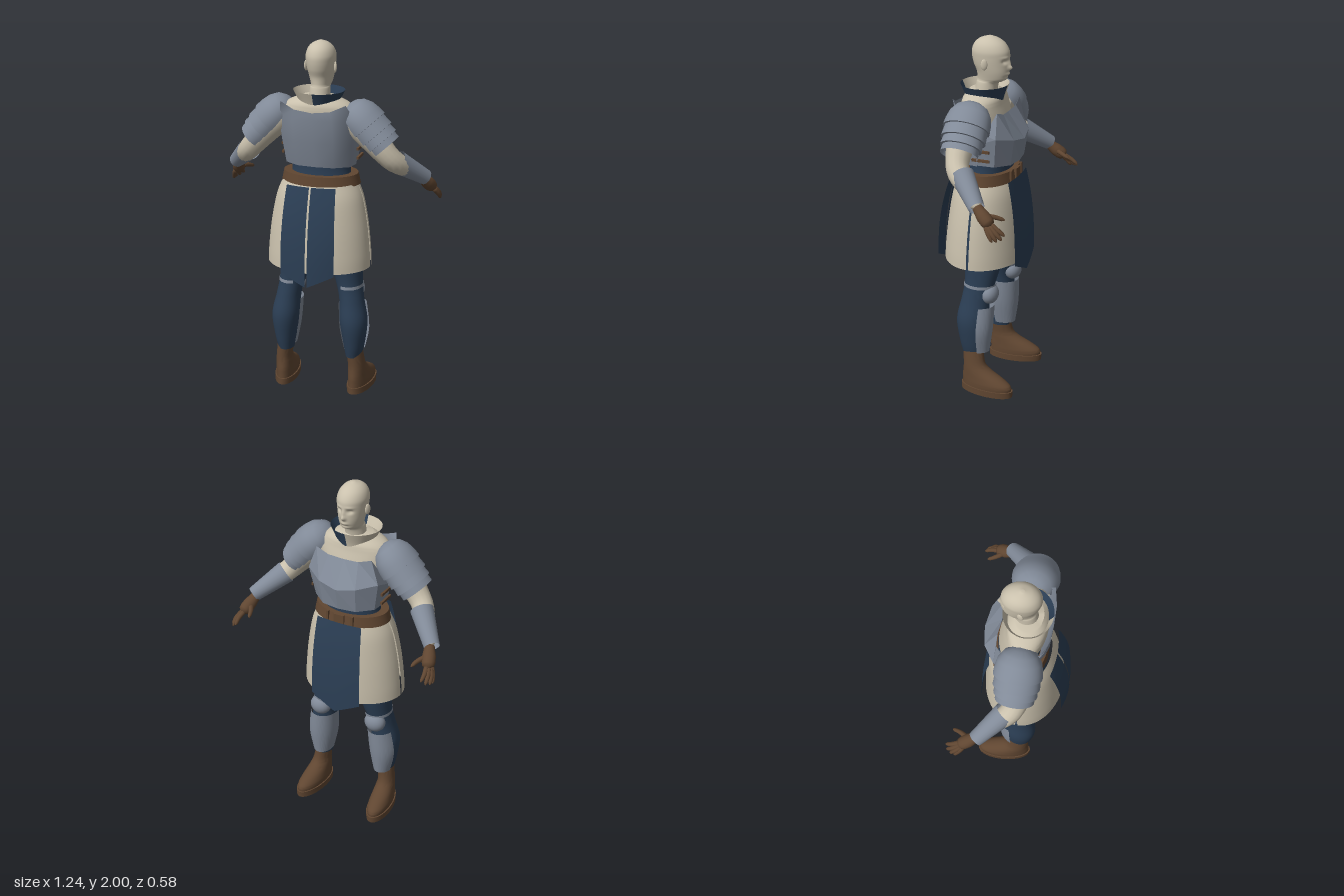
import * as THREE from 'three';
import { mergeVertices, toCreasedNormals } from 'three/addons/utils/BufferGeometryUtils.js';

const V = (p) => new THREE.Vector3(...p);

// Indexed surface from rows of [x, y, z] points; rows rise, columns run from front towards +x.
function grid(rows, closed = false) {
  const n = rows[0].length, idx = [];
  for (let j = 0; j < rows.length - 1; j++) {
    for (let i = 0; i < (closed ? n : n - 1); i++) {
      const k = (i + 1) % n, a = j * n + i, b = j * n + k;
      idx.push(a, a + n, b + n, a, b + n, b);
    }
  }
  const g = new THREE.BufferGeometry();
  g.setAttribute('position', new THREE.Float32BufferAttribute(rows.flat(2), 3));
  g.setIndex(idx);
  g.computeVertexNormals();
  return g;
}

// Upright body from rows [y, centreX, radiusX, zFront, zBack]; angle 0 is the front, PI/2 is +x.
function loft(rows, { a0 = 0, a1 = Math.PI * 2, n = 32, steps = 5, cap = true } = {}) {
  const full = a1 - a0 > 6.28, fine = [];
  const at = (j) => rows[Math.max(0, Math.min(rows.length - 1, j))];
  for (let j = 0; j < rows.length - 1; j++) {
    for (let s = 0; s < steps; s++) {
      const t = s / steps, [p, q, r, w] = [at(j - 1), at(j), at(j + 1), at(j + 2)];
      fine.push(q.map((v, c) => v + 0.5 * t * (r[c] - p[c] + t * (2 * p[c] - 5 * v + 4 * r[c] - w[c]
        + t * (3 * (v - r[c]) + w[c] - p[c])))));
    }
  }
  fine.push(at(rows.length - 1));
  if (full && cap) {
    const flat = ([y, cx, , f, b]) => [y, cx, 0.0005, (f + b) / 2 - 0.0005, (f + b) / 2 + 0.0005];
    fine.unshift(flat(fine[0]));
    fine.push(flat(fine[fine.length - 1]));
  }
  return grid(fine.map(([y, cx, rx, f, b]) => Array.from({ length: full ? n : n + 1 }, (_, i) => {
    const a = a0 + (a1 - a0) * i / n;
    return [cx + rx * Math.sin(a), y, (f + b) / 2 - (b - f) / 2 * Math.cos(a)];
  })), full);
}

// Round limb along a curve, with its radius changing evenly between the given values.
function limb(points, radii, segs = 20, sides = 16) {
  const curve = new THREE.CatmullRomCurve3(points.map(V));
  let g = new THREE.TubeGeometry(curve, segs, 1, sides);
  const pos = g.attributes.position, v = new THREE.Vector3();
  for (let i = 0; i < pos.count; i++) {
    const t = Math.floor(i / (sides + 1)) / segs, c = curve.getPointAt(t);
    const k = Math.min(radii.length - 2, Math.floor(t * (radii.length - 1)));
    let r = THREE.MathUtils.lerp(radii[k], radii[k + 1], t * (radii.length - 1) - k);
    if (t === 0 || t === 1) r *= 0.35;
    v.fromBufferAttribute(pos, i).sub(c).multiplyScalar(r).add(c);
    pos.setXYZ(i, v.x, v.y, v.z);
  }
  g.deleteAttribute('uv');
  g.deleteAttribute('normal');
  g = mergeVertices(g, 1e-5);
  g.computeVertexNormals();
  return g;
}

function mirrored(g) {
  const m = g.clone().scale(-1, 1, 1), ix = m.index.array;
  for (let i = 0; i < ix.length; i += 3) [ix[i], ix[i + 1]] = [ix[i + 1], ix[i]];
  m.computeVertexNormals();
  return m;
}

export function createModel() {
  const model = new THREE.Group();
  const paint = (name, color) => new THREE.MeshStandardMaterial({ name, color, side: THREE.DoubleSide });
  const linen = paint('linen', 0xcac1ad), navy = paint('navy cloth', 0x2b3e54);
  const steel = paint('steel', 0x818a98), leather = paint('leather', 0x604631);
  const add = (name, g, mat, crease = 0.8) => {
    const mesh = new THREE.Mesh(crease ? toCreasedNormals(g, crease) : g, mat);
    mesh.name = name;
    model.add(mesh);
  };
  const pair = (name, g, mat, crease) => {
    add(name + 'Left', g, mat, crease);
    add(name + 'Right', mirrored(g), mat, crease);
  };

  // Head and neck, with eye hollows, nose, lips and brow pressed into the front
  const head = loft([
    [1.64, 0, 0.06, -0.01, 0.115], [1.74, 0, 0.054, -0.025, 0.097], [1.76, 0, 0.052, -0.055, 0.092],
    [1.775, 0, 0.056, -0.076, 0.09], [1.81, 0, 0.065, -0.085, 0.094], [1.85, 0, 0.073, -0.087, 0.11],
    [1.89, 0, 0.078, -0.088, 0.119], [1.925, 0, 0.079, -0.085, 0.119], [1.96, 0, 0.067, -0.064, 0.104],
    [1.985, 0, 0.043, -0.03, 0.074], [2, 0, 0.008, 0.012, 0.03],
  ], { n: 80, steps: 8 });
  const hp = head.attributes.position;
  const bump = (x, y, cx, cy, sx, sy) => Math.exp(-(((x - cx) / sx) ** 2) - ((y - cy) / sy) ** 2);
  for (let i = 0; i < hp.count; i++) {
    const x = hp.getX(i), y = hp.getY(i), z = hp.getZ(i);
    if (z > -0.02) continue;
    hp.setZ(i, z + 0.013 * bump(Math.abs(x), y, 0.03, 1.872, 0.015, 0.011)
      - 0.018 * bump(x, y, 0, 1.835, 0.012, 0.013) - 0.009 * bump(x, y, 0, 1.86, 0.009, 0.02)
      - 0.007 * bump(x, y, 0, 1.802, 0.02, 0.008) + 0.005 * bump(x, y, 0, 1.788, 0.025, 0.006)
      - 0.004 * bump(Math.abs(x), y, 0.03, 1.893, 0.022, 0.007));
  }
  head.computeVertexNormals();
  add('head', head, linen, 0);
  pair('ear', new THREE.SphereGeometry(1, 14, 10).scale(0.008, 0.03, 0.018).rotateY(0.35)
    .translate(0.081, 1.86, 0.022), linen, 0);

  // Two-tone standing collar
  const collar = [[1.63, 0, 0.095, -0.05, 0.14], [1.68, 0, 0.11, -0.06, 0.155], [1.74, 0, 0.14, -0.08, 0.18]];
  add('collarLeft', loft(collar, { a1: Math.PI, n: 24 }), navy);
  add('collarRight', loft(collar, { a0: Math.PI, n: 24 }), linen);

  // Shirt, waist and hips
  add('shirt', loft([[1.28, 0, 0.15, -0.09, 0.11], [1.42, 0, 0.175, -0.1, 0.13], [1.55, 0, 0.2, -0.08, 0.155],
    [1.63, 0, 0.205, -0.06, 0.16], [1.675, 0, 0.17, -0.05, 0.155], [1.71, 0, 0.09, -0.02, 0.13]]), linen);
  add('waist', loft([[1.02, 0, 0.17, -0.09, 0.14], [1.2, 0, 0.175, -0.1, 0.13], [1.3, 0, 0.163, -0.105, 0.12],
    [1.36, 0, 0.165, -0.105, 0.12]]), navy);

  // Keeled breastplate and curved backplate, given as half rows and mirrored
  const plate = (rows) => grid(rows.map((r) => [...r.slice(1).reverse().map(([x, y, z]) => [-x, y, z]), ...r]));
  add('breastplate', plate([
    [[0, 1.33, -0.152], [0.1, 1.33, -0.138], [0.18, 1.335, -0.075], [0.198, 1.34, 0.025]],
    [[0, 1.455, -0.178], [0.11, 1.475, -0.16], [0.21, 1.5, -0.095], [0.213, 1.46, 0.015]],
    [[0, 1.595, -0.083], [0.09, 1.605, -0.092], [0.165, 1.63, -0.085], [0.208, 1.52, -0.03]],
  ]), steel, 0.05);
  add('backplate', plate([
    [[0, 1.33, 0.128], [0.1, 1.33, 0.12], [0.18, 1.33, 0.07], [0.198, 1.335, 0.015]],
    [[0, 1.47, 0.163], [0.11, 1.47, 0.158], [0.195, 1.47, 0.1], [0.213, 1.45, 0.015]],
    [[0, 1.6, 0.182], [0.11, 1.6, 0.179], [0.2, 1.59, 0.125], [0.215, 1.52, 0.04]],
    [[0, 1.64, 0.183], [0.1, 1.652, 0.18], [0.18, 1.688, 0.16], [0.2, 1.63, 0.12]],
  ]), steel, 1);
  for (const y of [1.375, 1.425]) {
    pair('sideStrap', new THREE.BoxGeometry(0.012, 0.014, 0.1).translate(0.212, y, -0.01), leather);
  }

  // Belt with buckle and loops
  add('belt', loft([[1.225, 0, 0.22, -0.14, 0.165], [1.283, 0, 0.208, -0.13, 0.157]], { n: 48, steps: 1 }), leather);
  add('buckle', new THREE.BoxGeometry(0.06, 0.066, 0.014).translate(0, 1.254, -0.138), leather);
  pair('beltLoop', new THREE.BoxGeometry(0.014, 0.068, 0.014).translate(0.075, 1.254, -0.13), leather);

  // Skirt in front and back halves, open at the sides
  const skirt = [[0.765, 0, 0.292, -0.184, 0.26], [0.85, 0, 0.288, -0.181, 0.255], [1, 0, 0.272, -0.172, 0.238],
    [1.15, 0, 0.243, -0.157, 0.212], [1.235, 0, 0.208, -0.135, 0.18]];
  const half = Math.PI / 2 - 0.03;
  add('skirtFront', loft(skirt, { a0: -half, a1: half }), linen);
  add('skirtBack', loft(skirt, { a0: Math.PI - half, a1: Math.PI + half }), linen);

  // Pointed hanging panels; the rear one is split down the middle
  const panel = (xa, xb, zTop, zLow, curve) => {
    const rows = [];
    for (let j = 0; j <= 12; j++) {
      rows.push(Array.from({ length: 11 }, (_, i) => {
        const t = j / 12, x = THREE.MathUtils.lerp(xa, xb, i / 10) * (1 - 0.1 * t * t);
        const low = 0.695 + Math.abs(x) * 0.48;
        const z = zLow + (zTop - zLow) * t ** 2.4;
        return [x, low + (1.24 - low) * t, z - Math.sign(zLow) * curve * x * x];
      }));
    }
    return grid(rows);
  };
  add('frontPanel', panel(-0.15, 0.15, -0.148, -0.198, 0.6), navy);
  pair('backPanel', panel(0.006, 0.152, 0.212, 0.293, 1), navy);

  // Arms
  pair('arm', limb([[0.17, 1.63, 0.05], [0.29, 1.51, 0.06], [0.4, 1.385, 0.04], [0.47, 1.315, -0.045],
    [0.54, 1.245, -0.135]], [0.085, 0.083, 0.074, 0.062, 0.055, 0.042, 0.027], 28), linen, 0);

  // Shoulder plates: a dome and stepped bands around the upper arm
  const dome = [[0.001, -0.088], [0.04, -0.08], [0.075, -0.055], [0.097, -0.015], [0.106, 0.03], [0.109, 0.07],
    [0.1, 0.071], [0.104, 0.132], [0.093, 0.133], [0.097, 0.178], [0.086, 0.179], [0.087, 0.215]];
  pair('shoulderPlate', new THREE.LatheGeometry(dome.map((p) => new THREE.Vector2(...p)), 30, 2.5, 4.3)
    .scale(1, 1, 1.17).rotateZ(-2.4).translate(0.225, 1.61, 0.045), steel, 0.6);

  // Forearm guards
  const from = V([0.42, 1.365, 0.005]), to = V([0.55, 1.25, -0.13]), axis = to.clone().sub(from);
  const guard = new THREE.CylinderGeometry(0.042, 0.063, axis.length(), 20, 1, true);
  guard.applyQuaternion(new THREE.Quaternion().setFromUnitVectors(V([0, 1, 0]), axis.clone().normalize()));
  pair('forearmGuard', guard.translate(...from.clone().lerp(to, 0.5).toArray()), steel, 0.6);

  // Gloved hands
  pair('palm', limb([[0.53, 1.255, -0.118], [0.552, 1.212, -0.165], [0.572, 1.172, -0.215]],
    [0.026, 0.03, 0.036, 0.036, 0.028], 12), leather, 0);
  [
    [[0.58, 1.175, -0.19], [0.602, 1.14, -0.215], [0.613, 1.105, -0.238]],
    [[0.58, 1.172, -0.2], [0.602, 1.14, -0.235], [0.608, 1.108, -0.262]],
    [[0.574, 1.175, -0.208], [0.59, 1.145, -0.25], [0.592, 1.114, -0.283]],
    [[0.563, 1.18, -0.21], [0.572, 1.155, -0.255], [0.57, 1.13, -0.29]],
    [[0.54, 1.21, -0.175], [0.513, 1.2, -0.22], [0.498, 1.185, -0.262]],
  ].forEach((p, i) => pair(i < 4 ? 'finger' + (i + 1) : 'thumb', limb(p, [0.015, 0.013, 0.009], 8, 8), leather, 0));

  // Legs with knee guards and shin guards
  pair('leg', loft([[0.22, 0.2, 0.044, -0.02, 0.1], [0.3, 0.203, 0.06, -0.035, 0.118], [0.43, 0.2, 0.077, -0.045, 0.135],
    [0.55, 0.185, 0.069, -0.05, 0.113], [0.65, 0.165, 0.074, -0.073, 0.1], [0.78, 0.14, 0.096, -0.1, 0.11],
    [0.95, 0.115, 0.11, -0.1, 0.13], [1.15, 0.1, 0.1, -0.09, 0.12]]), navy);
  pair('shinGuard', loft([[0.245, 0.2, 0.055, -0.052, 0.1], [0.38, 0.2, 0.082, -0.07, 0.125],
    [0.525, 0.186, 0.078, -0.076, 0.11]], { a0: -1.9, a1: 1.25 }), steel);
  pair('kneeGuard', new THREE.SphereGeometry(1, 20, 14).scale(0.062, 0.058, 0.05).translate(0.176, 0.592, -0.047), steel, 0);
  pair('kneeStrap', loft([[0.63, 0.167, 0.076, -0.077, 0.106], [0.648, 0.165, 0.077, -0.078, 0.104]],
    { a0: -0.7, a1: 3.5, steps: 1 }), steel);

  // Boots, turned slightly outwards
  const turn = (g) => g.translate(-0.21, 0, -0.04).rotateY(-0.1).translate(0.21, 0, 0.04);
  pair('boot', turn(loft([[0.03, 0.215, 0.06, -0.2, 0.1], [0.06, 0.215, 0.061, -0.198, 0.1],
    [0.09, 0.215, 0.057, -0.155, 0.1], [0.13, 0.215, 0.051, -0.075, 0.095], [0.17, 0.214, 0.046, -0.035, 0.094],
    [0.25, 0.205, 0.045, -0.02, 0.1]])), leather);
  pair('sole', turn(loft([[0, 0.215, 0.066, -0.207, 0.108], [0.036, 0.215, 0.067, -0.21, 0.108]], { steps: 1 })), leather);

  return model;
}
